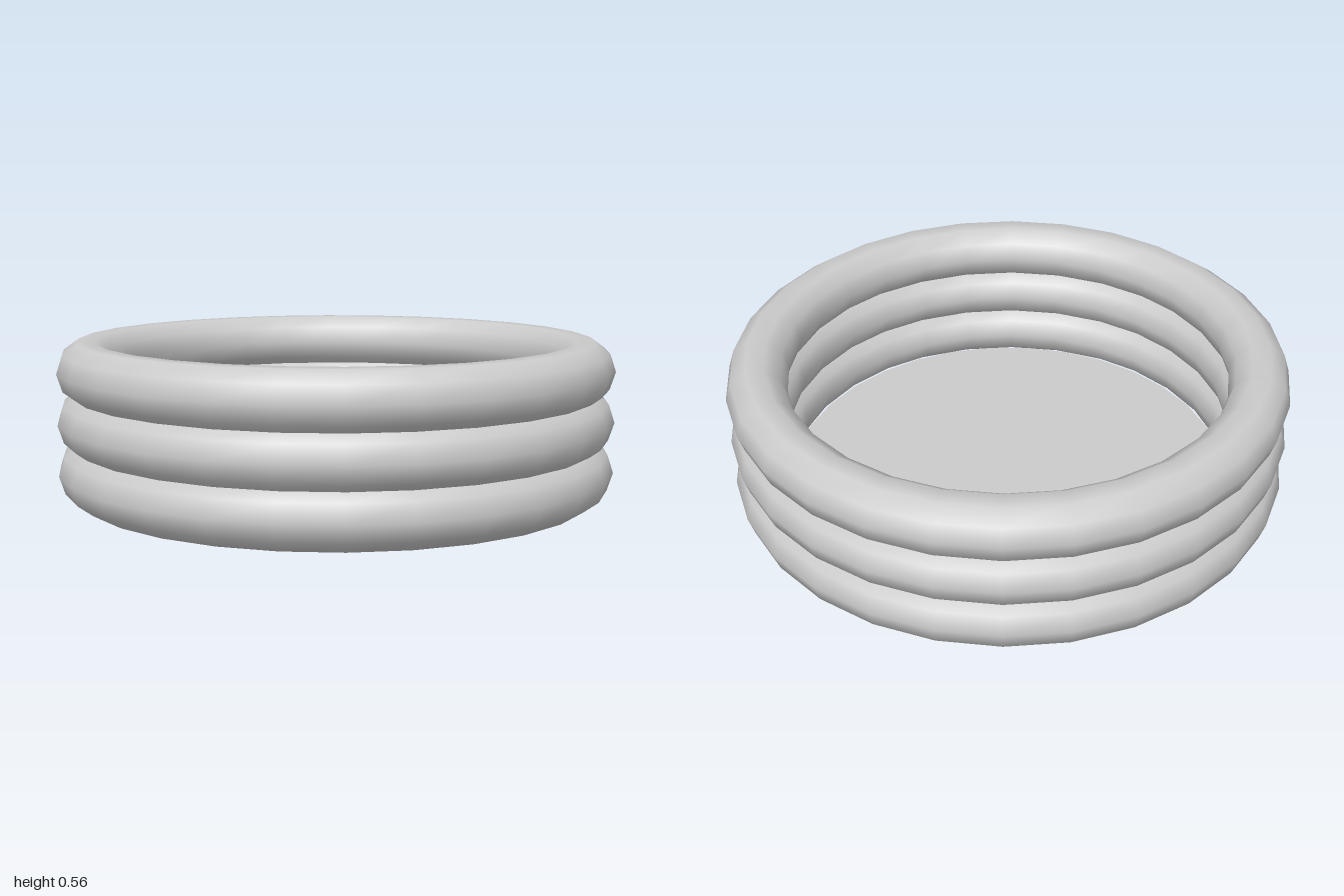
import * as THREE from 'three';

// Inflatable paddling pool: three stacked air rings and a thin floor.
const TUBE = 0.107;
const RADIUS = 1 - TUBE;
const RING_STEP = 0.18;
const FIRST_RING_Y = 0.102;
const SIDES = 28;

export function createModel() {
  const pool = new THREE.Group();
  pool.name = 'paddlingPool';
  const material = new THREE.MeshStandardMaterial({ color: 0xcccccc });

  // Air rings, lying flat on top of each other
  const ringGeometry = new THREE.TorusGeometry(RADIUS, TUBE, 10, SIDES);
  ringGeometry.rotateX(-Math.PI / 2);
  ['lowerRing', 'middleRing', 'upperRing'].forEach((name, i) => {
    const ring = new THREE.Mesh(ringGeometry, material);
    ring.name = name;
    ring.position.y = FIRST_RING_Y + i * RING_STEP;
    pool.add(ring);
  });

  // Thin floor sheet, seen from above and below
  const floorGeometry = new THREE.CircleGeometry(0.803, 32);
  floorGeometry.rotateX(-Math.PI / 2);
  const floor = new THREE.Mesh(
    floorGeometry,
    new THREE.MeshStandardMaterial({ color: 0xcccccc, side: THREE.DoubleSide })
  );
  floor.name = 'floor';
  floor.position.y = 0.035;
  pool.add(floor);

  return pool;
}
